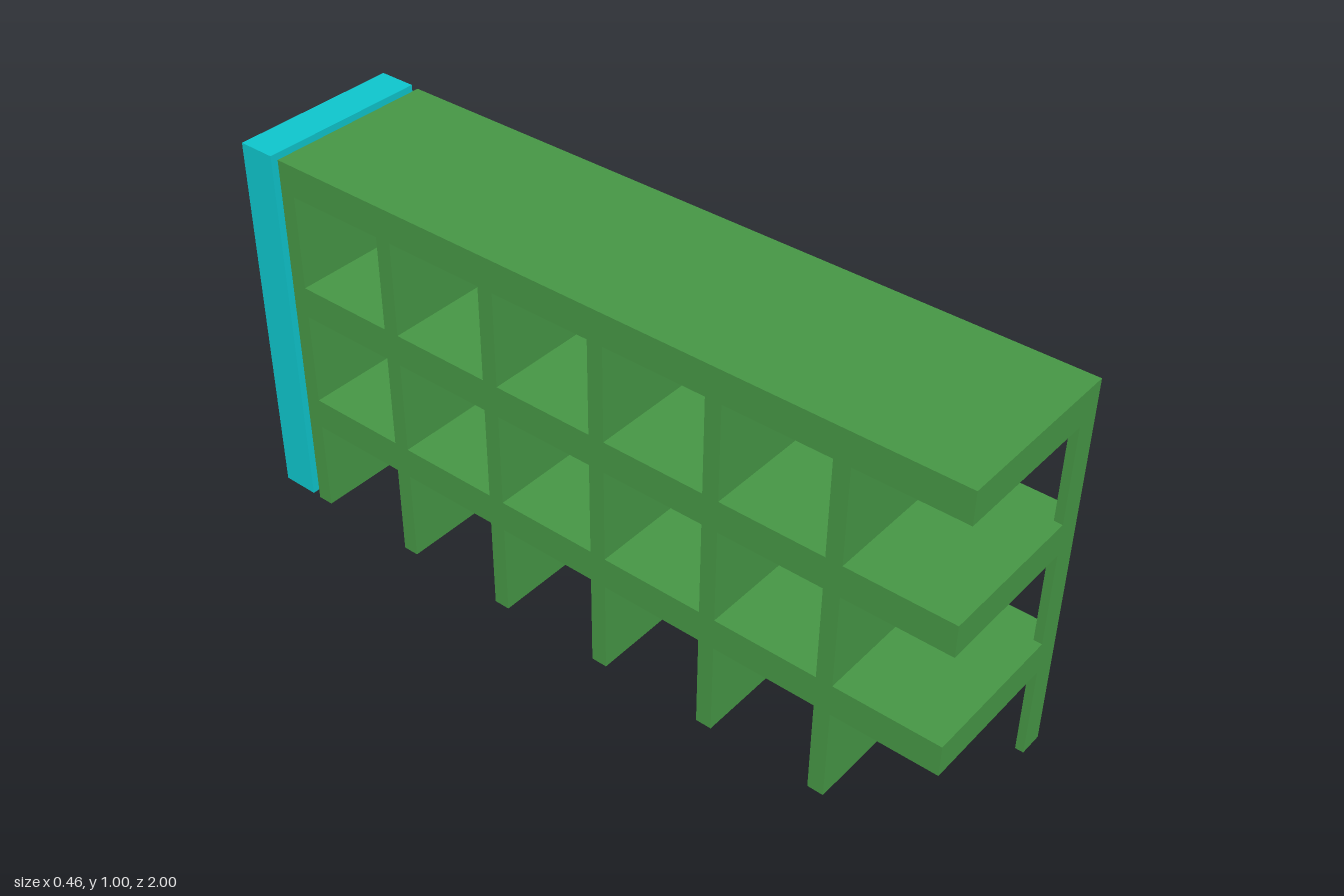
import * as THREE from 'three';

export function createModel() {
  const model = new THREE.Group();
  const green = new THREE.MeshStandardMaterial({ name: 'green', color: 0x469645 });
  const cyan = new THREE.MeshStandardMaterial({ name: 'cyan', color: 0x0ec5cc });

  const left = -0.23, inner = 0.161, right = 0.224;
  const zFront = 1, zBack = -0.876;
  const storey = 1 / 3, opening = 0.25, bay = 0.3125, bays = 6;

  // Box given by its extents on each axis
  function box(name, material, [x0, x1], [y0, y1], [z0, z1]) {
    const mesh = new THREE.Mesh(new THREE.BoxGeometry(x1 - x0, y1 - y0, z1 - z0), material);
    mesh.position.set((x0 + x1) / 2, (y0 + y1) / 2, (z0 + z1) / 2);
    mesh.name = name;
    model.add(mesh);
  }

  // Facade grid, drawn with shape x = -z: open notches at ground level, holes above
  const facade = new THREE.Shape();
  facade.moveTo(-zFront, 0);
  for (let i = 0; i < bays; i++) {
    const a = -0.979 + bay * i, b = -0.75 + bay * i;
    facade.lineTo(a, 0);
    facade.lineTo(a, opening);
    facade.lineTo(b, opening);
    facade.lineTo(b, 0);
    for (let s = 1; s < 3; s++) {
      const y = s * storey;
      facade.holes.push(new THREE.Path([
        new THREE.Vector2(a, y), new THREE.Vector2(a, y + opening),
        new THREE.Vector2(b, y + opening), new THREE.Vector2(b, y),
      ]));
    }
  }
  facade.lineTo(-zBack, 0);
  facade.lineTo(-zBack, 1);
  facade.lineTo(-zFront, 1);
  facade.closePath();
  const facadeGeometry = new THREE.ExtrudeGeometry(facade, { depth: right - inner, bevelEnabled: false });
  facadeGeometry.rotateY(Math.PI / 2);
  const facadeMesh = new THREE.Mesh(facadeGeometry, green);
  facadeMesh.name = 'facade';
  facadeMesh.position.x = inner;
  model.add(facadeMesh);

  // Floor slabs with thin cross walls beneath each one
  for (let s = 0; s < 3; s++) {
    const y = s * storey;
    box(s === 2 ? 'roofSlab' : 'floorSlab', green, [left, inner], [y + opening, y + storey], [zBack, zFront]);
    for (let i = 0; i < bays; i++) {
      const z = 0.729 - bay * i;
      const z0 = i === bays - 1 ? zBack : z - 0.042;
      box('crossWall', green, [left, inner], [y, y + opening], [z0, z]);
    }
  }

  // Separate end block behind the frame
  box('endBlock', cyan, [-0.229, 0.229], [0, 1], [-1, -0.901]);

  return model;
}
